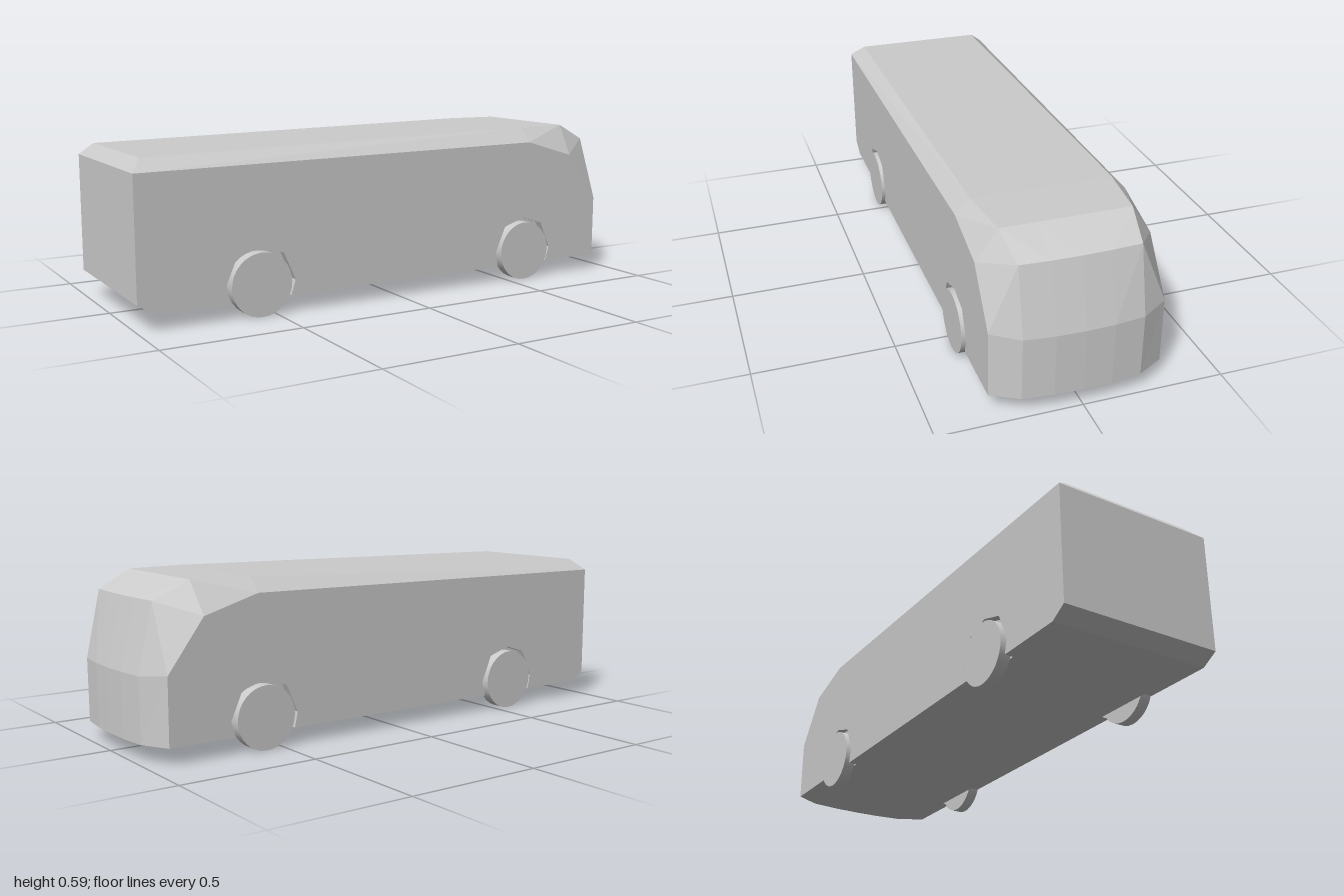
import * as THREE from 'three';

const grey = new THREE.MeshStandardMaterial({ color: 0xcccccc, flatShading: true });
const smoothGrey = new THREE.MeshStandardMaterial({ color: 0xcccccc });
const HALF = 0.302, INNER = 0.27, FLOOR = 0.06;
const AXLES = [-0.56, 0.57];

// Convex polygons, mirrored across z and turned to face away from the body centre
function shell(name, polygons) {
  const centre = new THREE.Vector3(0, 0.3, 0);
  const out = [];
  for (const side of [1, -1]) {
    for (const poly of polygons) {
      const p = poly.map(([x, y, z]) => new THREE.Vector3(x, y, z * side));
      for (let i = 1; i < p.length - 1; i++) {
        const tri = [p[0], p[i], p[i + 1]];
        const n = tri[1].clone().sub(tri[0]).cross(tri[2].clone().sub(tri[0]));
        if (n.dot(tri[0].clone().sub(centre)) < 0) tri.reverse();
        tri.forEach((v) => out.push(v.x, v.y, v.z));
      }
    }
  }
  const geo = new THREE.BufferGeometry();
  geo.setAttribute('position', new THREE.Float32BufferAttribute(out, 3));
  geo.computeVertexNormals();
  const mesh = new THREE.Mesh(geo, grey);
  mesh.name = name;
  return mesh;
}

// Side wall outline with the wheel arches cut into its lower edge
function sidePanelGeometry() {
  const arch = [[-0.12, FLOOR], [-0.132, 0.115], [-0.088, 0.215], [0, 0.243],
    [0.088, 0.215], [0.132, 0.115], [0.115, FLOOR]];
  const pts = [[-1, 0.525], [-1, 0.095], [-0.94, FLOOR]];
  for (const ax of AXLES) arch.forEach(([x, y]) => pts.push([ax + x, y]));
  pts.push([0.93, FLOOR], [0.93, 0.295], [0.795, 0.477], [0.59, 0.538]);
  const shape = new THREE.Shape(pts.map(([x, y]) => new THREE.Vector2(x, y)));
  return new THREE.ExtrudeGeometry(shape, { depth: HALF - INNER, bevelEnabled: false });
}

export function createModel() {
  const bus = new THREE.Group();
  bus.name = 'bus';

  // Corner points on the +z half
  const sideRear = [-1, 0.525, HALF], sideMid = [0.59, 0.538, HALF];
  const sideFront = [0.795, 0.477, HALF], sideNose = [0.93, 0.295, HALF];
  const roofRear = [-0.96, 0.568, 0.25], roofMid = [0.59, 0.59, 0.25], roofFront = [0.805, 0.59, 0.227];
  const onAxis = ([x, y]) => [x, y, 0];

  bus.add(shell('roof', [
    [roofRear, roofMid, onAxis(roofMid), onAxis(roofRear)],
    [roofMid, roofFront, onAxis(roofFront), onAxis(roofMid)],
  ]));
  bus.add(shell('roofEdge', [
    [sideRear, sideMid, roofMid, roofRear],
    [sideMid, sideFront, roofFront, roofMid],
    [sideRear, roofRear, onAxis(roofRear), onAxis(sideRear)],
  ]));

  // Slightly bowed nose, in columns from the corner to the middle
  const columns = [[0.207, 0.985, 0.932], [0.1, 0.997, 0.938], [0, 1, 0.94]].map(([z, x, top]) => ({
    roof: [0.805, 0.59, z === 0.207 ? 0.227 : z],
    top: [top, 0.527, z], belt: [x, 0.287, z], base: [x - 0.002, FLOOR, z],
  }));
  const brow = [], windscreen = [], nose = [];
  for (let i = 0; i < 2; i++) {
    const a = columns[i], b = columns[i + 1];
    brow.push([a.roof, a.top, b.top, b.roof]);
    windscreen.push([a.top, a.belt, b.belt, b.top]);
    nose.push([a.belt, a.base, b.base, b.belt]);
  }
  const c = columns[0];
  bus.add(shell('frontBrow', brow), shell('windscreen', windscreen), shell('nosePanel', nose));
  bus.add(shell('frontCorner', [
    [sideFront, c.top, roofFront],
    [sideFront, sideNose, c.top],
    [sideNose, c.belt, c.top],
    [sideNose, [0.93, FLOOR, HALF], c.base, c.belt],
  ]));

  // Rear wall, rear skirt, floor and the backs of the wheel wells
  bus.add(shell('rearWall', [[sideRear, [-1, 0.095, HALF], [-1, 0.095, 0], onAxis(sideRear)]]));
  bus.add(shell('underside', [
    [[-1, 0.095, HALF], [-0.94, FLOOR, HALF], [-0.94, FLOOR, 0], [-1, 0.095, 0]],
    [[-0.94, FLOOR, 0], [-0.94, FLOOR, INNER], [0.93, FLOOR, INNER], [0.93, FLOOR, 0]],
    [[0.93, FLOOR, 0], [0.93, FLOOR, HALF], c.base, columns[1].base, columns[2].base],
  ]));
  bus.add(shell('wheelWellBack', AXLES.map((x) => [
    [x - 0.16, FLOOR, INNER], [x + 0.16, FLOOR, INNER], [x + 0.16, 0.27, INNER], [x - 0.16, 0.27, INNER],
  ])));

  // Side walls and wheels
  const panel = sidePanelGeometry();
  const wheel = new THREE.CylinderGeometry(0.113, 0.113, 0.043, 32).rotateX(Math.PI / 2);
  for (const side of [1, -1]) {
    const label = side > 0 ? 'front' : 'back';
    const wall = new THREE.Mesh(panel, grey);
    wall.name = label + 'FacingSideWall';
    wall.position.z = side > 0 ? INNER : -HALF;
    bus.add(wall);
    AXLES.forEach((x, i) => {
      const tyre = new THREE.Mesh(wheel, smoothGrey);
      tyre.name = label + (i ? 'SideNoseWheel' : 'SideTailWheel');
      tyre.position.set(x, 0.113, side * 0.2915);
      bus.add(tyre);
    });
  }
  return bus;
}
